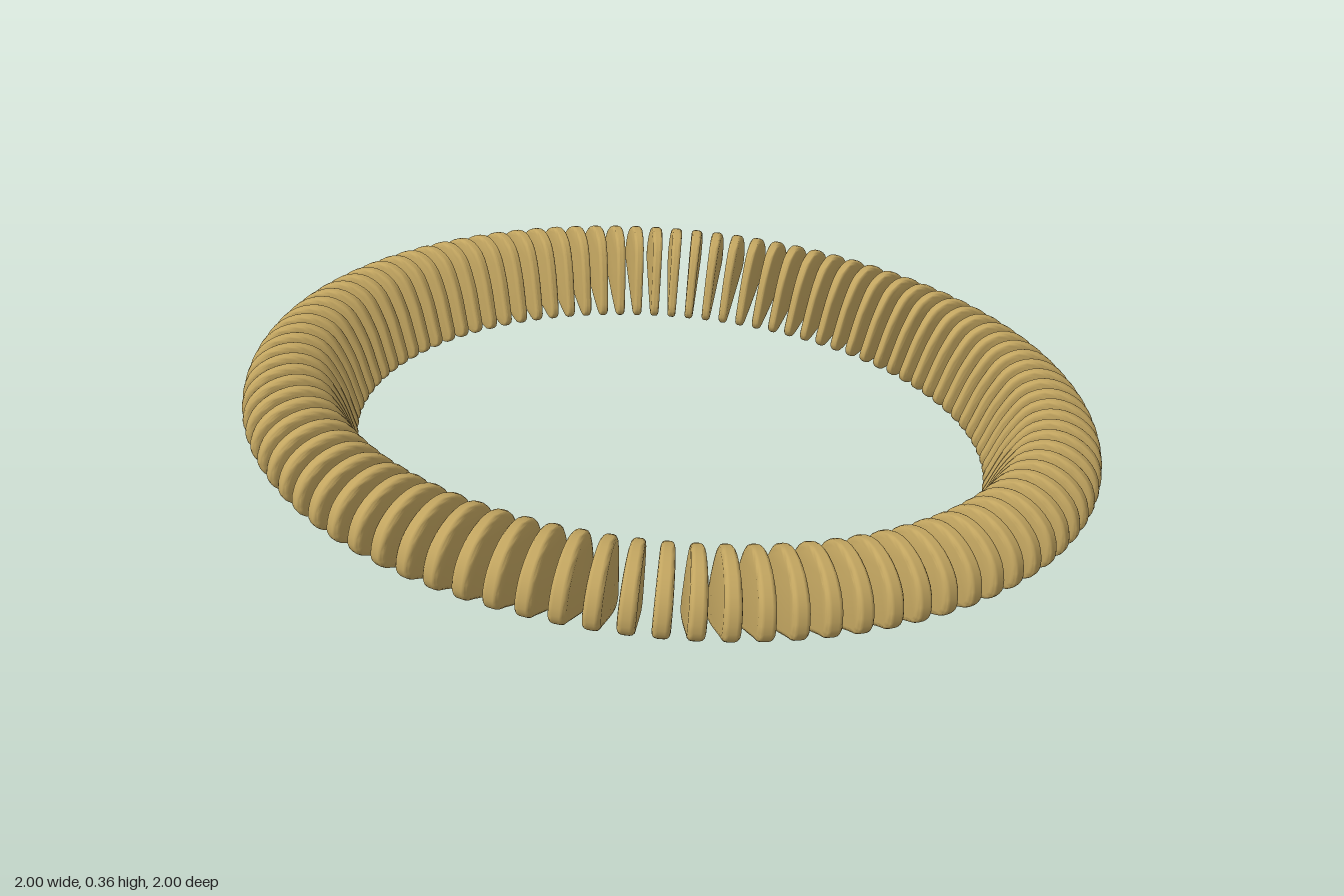
import * as THREE from 'three';
import { toCreasedNormals } from 'three/addons/utils/BufferGeometryUtils.js';

const COUNT = 97;

// One thin bead: a rounded wedge outline (radius, height), thinner toward the ring centre
function beadGeometry() {
  const outline = [
    [1.0, 0.0], [0.985, 0.052], [0.94, 0.092], [0.88, 0.106], [0.825, 0.085],
    [0.785, 0.025], [0.757, -0.05], [0.746, -0.098], [0.768, -0.115],
    [0.82, -0.1], [0.89, -0.07], [0.955, -0.04], [0.99, -0.023],
  ].map(([r, y]) => new THREE.Vector3(r, y, 0));
  const points = new THREE.CatmullRomCurve3(outline, true).getPoints(40).slice(0, -1);
  const shape = new THREE.Shape(points.map(p => new THREE.Vector2(p.x, p.y)));
  const bevel = 0.011;
  const depth = 0.014;
  const geo = new THREE.ExtrudeGeometry(shape, {
    depth, steps: 1, bevelEnabled: true, bevelThickness: bevel,
    bevelSize: bevel, bevelOffset: -bevel, bevelSegments: 3,
  });
  geo.translate(0, 0, -depth / 2);
  const pos = geo.attributes.position;
  for (let i = 0; i < pos.count; i++) {
    pos.setZ(i, pos.getZ(i) * (0.62 + 1.5 * (pos.getX(i) - 0.75)));
  }
  return toCreasedNormals(geo, 0.7);
}

export function createModel() {
  const model = new THREE.Group();
  const gold = new THREE.MeshStandardMaterial({ color: 0xc2a560 });
  gold.name = 'gold';

  // Ring of beads, tipped slightly toward the back left
  const ring = new THREE.Group();
  ring.name = 'beadRing';
  const geo = beadGeometry();
  for (let i = 0; i < COUNT; i++) {
    const bead = new THREE.Mesh(geo, gold);
    bead.name = 'bead' + (i + 1);
    bead.rotation.y = -i * Math.PI * 2 / COUNT;
    ring.add(bead);
  }
  ring.rotation.set(-0.055, 0, -0.065);
  model.add(ring);

  // Stand the lowest bead on y = 0
  model.updateMatrixWorld(true);
  ring.position.y = -new THREE.Box3().setFromObject(model, true).min.y;
  return model;
}
